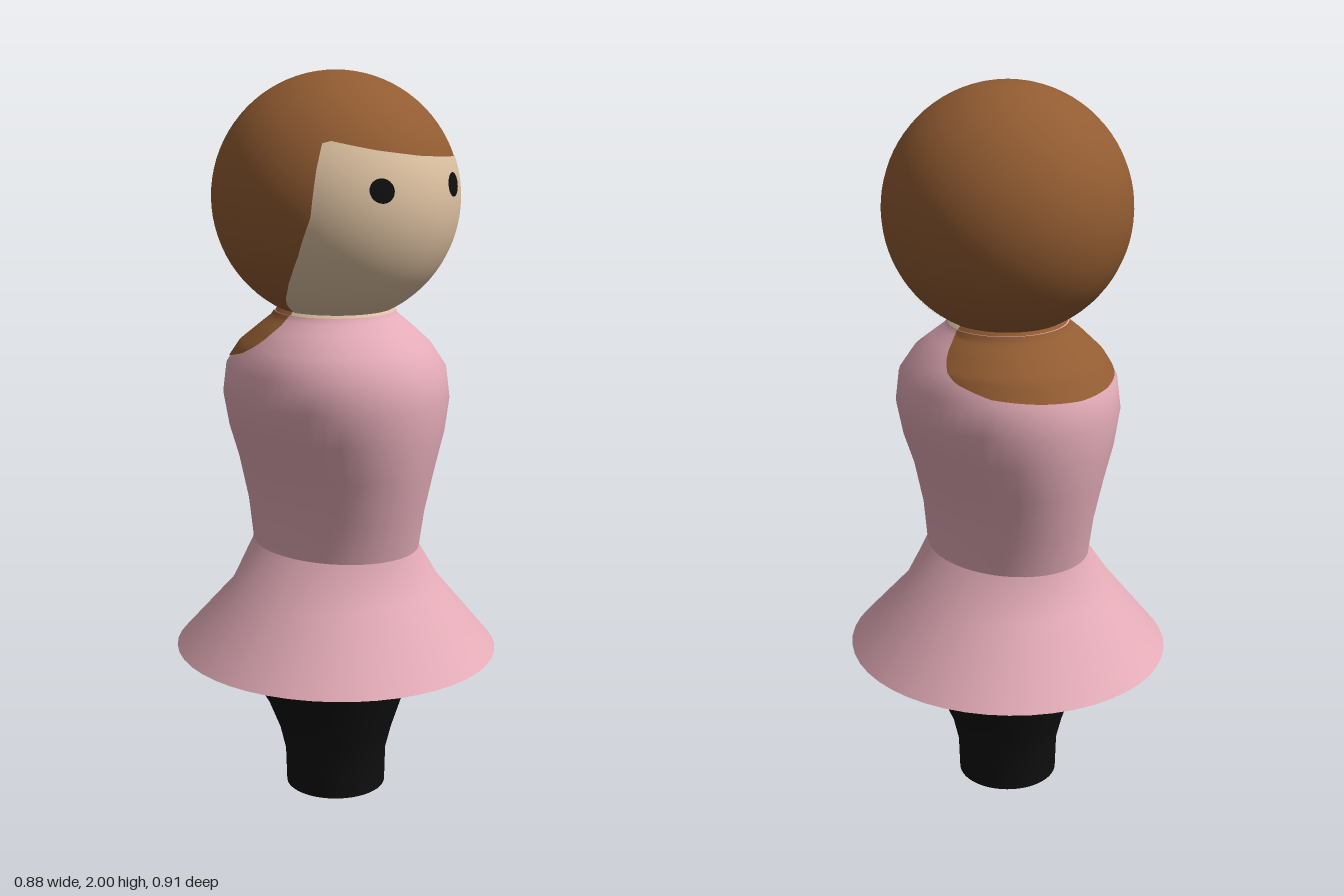
import * as THREE from 'three';

const PI = Math.PI;
const material = (name, color) => {
  const m = new THREE.MeshStandardMaterial({ color });
  m.name = name;
  return m;
};

// Linear lookup in a short list of [key, value, value...] rows with rising keys
function lookup(rows, key, column = 1) {
  for (let i = 1; i < rows.length; i++) {
    const a = rows[i - 1], b = rows[i];
    if (key <= b[0] || i === rows.length - 1) {
      const t = THREE.MathUtils.clamp((key - a[0]) / (b[0] - a[0]), 0, 1);
      return a[column] + (b[column] - a[column]) * t;
    }
  }
}

// Smooth grid surface from point(u, v); closed joins the last column to the first
function surface(point, nu, nv, closed = false) {
  const positions = [], index = [], cols = closed ? nu : nu + 1;
  for (let j = 0; j <= nv; j++)
    for (let i = 0; i < cols; i++) positions.push(...point(i / nu, j / nv));
  for (let j = 0; j < nv; j++)
    for (let i = 0; i < nu; i++) {
      const a = j * cols + i, b = j * cols + (i + 1) % cols;
      index.push(a, b, b + cols, a, b + cols, a + cols);
    }
  const g = new THREE.BufferGeometry();
  g.setAttribute('position', new THREE.Float32BufferAttribute(positions, 3));
  g.setIndex(index);
  g.computeVertexNormals();
  return g;
}

// Oval sections as [height, half width, half depth]
const legs = [[0, 0.14, 0.14], [0.1, 0.145, 0.14], [0.17, 0.16, 0.159], [0.26, 0.2, 0.182], [0.33, 0.245, 0.205]];
const underskirt = [[0.33, 0.245, 0.205], [0.42, 0.44, 0.455]];
const skirt = [[0.42, 0.44, 0.455], [0.6, 0.298, 0.285], [0.72, 0.21, 0.25]];
const torso = [
  [0.72, 0.21, 0.25], [0.83, 0.212, 0.275], [0.95, 0.235, 0.303], [1.05, 0.272, 0.319],
  [1.14, 0.293, 0.325], [1.22, 0.284, 0.314], [1.28, 0.25, 0.268], [1.33, 0.202, 0.2],
  [1.355, 0.172, 0.168], [1.37, 0.163, 0.16],
];
const neck = [[1.37, 0.163, 0.16], [1.39, 0.145, 0.145]];

const onSection = (rows, a, y, lift = 0) => [
  (lookup(rows, y, 1) + lift) * Math.sin(a), y, (lookup(rows, y, 2) + lift) * Math.cos(a),
];
// Band following the listed sections, from angle a0 to a1 (0 is the front)
function loft(rows, a0 = 0, a1 = 2 * PI) {
  const n = rows.length - 1;
  return surface((u, v) => onSection(rows, a0 + (a1 - a0) * u, rows[Math.round(v * n)][0]),
    48, n, a1 - a0 > 6);
}

// Point on the head at a turn from the front and a height
const HEAD_Y = 1.67, HEAD_R = 0.33;
function onHead(turn, y, lift) {
  const R = HEAD_R + lift, h = y - HEAD_Y, r = Math.sqrt(Math.max(0, R * R - h * h));
  return [r * Math.sin(turn), y, r * Math.cos(turn)];
}

export function createModel() {
  const pink = material('dress pink', 0xe3abb7);
  const brown = material('hair brown', 0x925c32);
  const skin = material('skin', 0xdfc3a3);
  const black = material('black', 0x0f0f0f);

  const model = new THREE.Group();
  model.name = 'doll';
  const add = (name, geometry, mat) => {
    const mesh = new THREE.Mesh(geometry, mat);
    mesh.name = name;
    model.add(mesh);
    return mesh;
  };

  // Legs with a closed sole
  add('legs', loft(legs), black);
  const sole = add('sole', new THREE.CircleGeometry(0.14, 48), black);
  sole.rotation.x = PI / 2;

  // Dress
  add('skirtUnderside', loft(underskirt), pink);
  add('skirt', loft(skirt), pink);
  add('bodice', loft(torso), pink);

  // Neck, bare in front and covered by hair behind
  add('neckFront', loft(neck, -PI / 2, PI / 2), skin);
  add('neckBack', loft(neck, PI / 2, 1.5 * PI), brown);

  // Hair falling over the upper back
  const hairEdge = [[0, 1.225], [0.4, 1.23], [0.84, 1.24], [1.2, 1.265], [1.34, 1.285], [1.43, 1.31], [1.52, 1.345], [PI / 2, 1.369]];
  add('backHair', surface((u, v) => {
    const a = (u - 0.5) * PI, low = lookup(hairEdge, Math.abs(a));
    return onSection(torso, PI + a, low + (1.37 - low) * v, 0.004);
  }, 64, 16), brown);

  // Head of hair
  const hair = add('hair', new THREE.SphereGeometry(HEAD_R, 64, 40), brown);
  hair.position.y = HEAD_Y;

  // Face, bounded by a slanting fringe and side locks
  const lock = [[1.36, 1.55], [1.4, 1.45], [1.45, 1.27], [1.5, 1.15], [1.55, 1.06], [1.65, 0.94], [1.77, 0.9], [1.84, 0.86]];
  const fringe = [[-1, 1.83], [-0.92, 1.836], [-0.45, 1.812], [0, 1.795], [0.45, 1.785], [0.94, 1.779], [1, 1.77]];
  add('face', surface((u, v) => {
    const s = 2 * u - 1, top = lookup(fringe, s), y = 1.36 + (top - 1.36) * v;
    return onHead(s * lookup(lock, y), y, 0.002);
  }, 48, 40), skin);

  // Eyes, thin discs lying on the face
  for (const [name, x] of [['rightEye', -0.127], ['leftEye', 0.13]])
    add(name, surface((u, v) => {
      const r = 0.031 * (1 - v), a = -u * 2 * PI;
      const ex = x + r * Math.cos(-a), ey = 1.715 + r * Math.sin(-a), h = ey - HEAD_Y;
      return [ex, ey, Math.sqrt((HEAD_R + 0.005) ** 2 - ex * ex - h * h)];
    }, 24, 3, true), black);

  return model;
}
